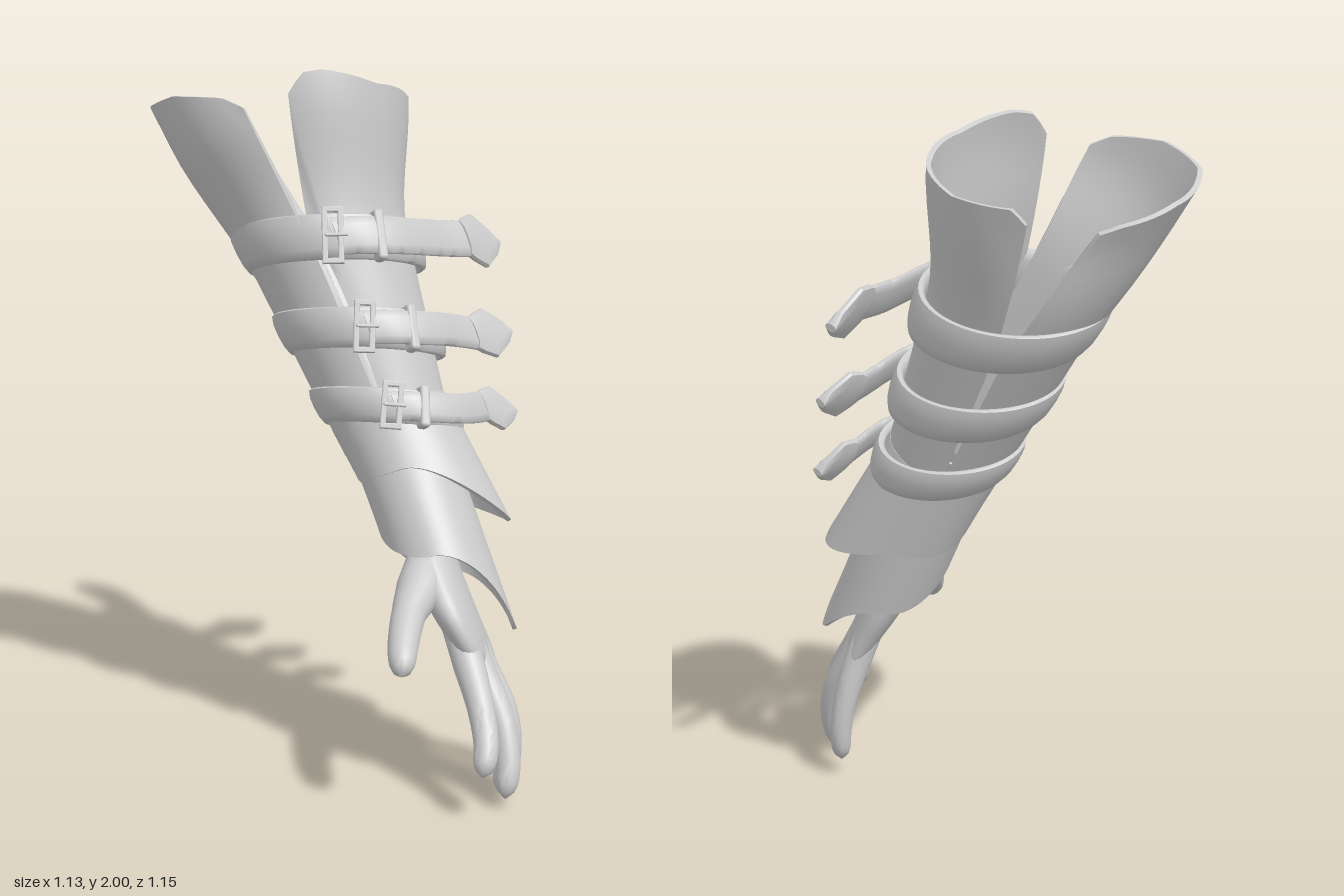
import * as THREE from 'three';
import { toCreasedNormals } from 'three/addons/utils/BufferGeometryUtils.js';
import { RoundedBoxGeometry } from 'three/addons/geometries/RoundedBoxGeometry.js';

const V = (x, y, z) => new THREE.Vector3(x, y, z);
const RAD = Math.PI / 180;
const { lerp, smoothstep } = THREE.MathUtils;
const material = new THREE.MeshStandardMaterial({ color: 0xcccccc, side: THREE.DoubleSide });

// Piecewise linear lookup through [x, value] pairs
function lookup(x, table) {
  if (x <= table[0][0]) return table[0][1];
  for (let i = 1; i < table.length; i++) {
    const [x0, v0] = table[i - 1], [x1, v1] = table[i];
    if (x <= x1) return lerp(v0, v1, (x - x0) / (x1 - x0));
  }
  return table[table.length - 1][1];
}

// Skin closed cross-sections into a solid; loops round or gets end caps
function loft(rings, closed = false, crease = 0.7) {
  const n = rings[0].length, pos = [], idx = [];
  rings.forEach(r => r.forEach(p => pos.push(p.x, p.y, p.z)));
  for (let i = 0; i < rings.length - (closed ? 0 : 1); i++)
    for (let j = 0; j < n; j++) {
      const k = (i + 1) % rings.length, m = (j + 1) % n;
      const a = i * n + j, b = i * n + m, c = k * n + m, d = k * n + j;
      idx.push(a, b, c, a, c, d);
    }
  if (!closed) [0, rings.length - 1].forEach(e => {
    const mid = V(0, 0, 0);
    rings[e].forEach(p => mid.addScaledVector(p, 1 / n));
    const c = pos.length / 3;
    pos.push(mid.x, mid.y, mid.z);
    for (let j = 0; j < n; j++) {
      const a = e * n + j, b = e * n + (j + 1) % n;
      e ? idx.push(c, a, b) : idx.push(c, b, a);
    }
  });
  // Turn the faces outwards
  const at = i => V(pos[3 * i], pos[3 * i + 1], pos[3 * i + 2]);
  let volume = 0;
  for (let i = 0; i < idx.length; i += 3) volume += at(idx[i]).dot(at(idx[i + 1]).cross(at(idx[i + 2])));
  if (volume < 0) idx.reverse();
  const g = new THREE.BufferGeometry();
  g.setAttribute('position', new THREE.Float32BufferAttribute(pos, 3));
  g.setIndex(idx);
  return toCreasedNormals(g, crease);
}

function add(parent, name, geometry) {
  const mesh = new THREE.Mesh(geometry, material);
  mesh.name = name;
  parent.add(mesh);
  return mesh;
}

// Forearm shell: cone widening to the elbow, each half flaring outwards
function shellPoint(t, deg, flare, shift, inset) {
  const c = Math.cos(deg * RAD), s = Math.sin(deg * RAD);
  const f = smoothstep(t, 0.5, 0.95);
  const r = 0.165 + 0.125 * t + flare * f * Math.abs(c) - inset;
  return V(r * c, t, r * s + shift * f * f);
}
function shellHalf(edgeA, edgeB, top, flare, shift) {
  const rings = [], U = 36, R = 18;
  for (let i = 0; i <= U; i++) {
    const s = i / U, tTop = lookup(s, top), ring = [];
    for (let k = 0; k < 2 * R + 2; k++) {
      const v = k <= R ? k / R : (2 * R + 1 - k) / R;
      const t = lerp(-0.05, tTop, v);
      ring.push(shellPoint(t, lerp(lookup(t, edgeA), lookup(t, edgeB), s), flare, shift, k <= R ? 0 : 0.015));
    }
    rings.push(ring);
  }
  return loft(rings);
}

// Wrist cuff: ring with a pointed lower rim; rim values at 0, 90, 180, 270 degrees
function cuff(topT, topR, rimT, rimR) {
  const rings = [], N = 64, R = 8;
  for (let i = 0; i < N; i++) {
    const q = i / N * 4, a = Math.floor(q), f = q - a, ang = q * Math.PI / 2, ring = [];
    const ease = smoothstep(f, 0, 1);
    const t1 = lerp(rimT[a], rimT[(a + 1) % 4], lerp(f, ease, 0.75));
    const r1 = lerp(rimR[a], rimR[(a + 1) % 4], ease);
    for (let k = 0; k < 2 * R + 2; k++) {
      const v = k <= R ? k / R : (2 * R + 1 - k) / R;
      const r = lerp(topR, r1, v) - (k <= R ? 0 : 0.012);
      ring.push(V(r * Math.cos(ang), lerp(topT, t1, v), r * Math.sin(ang)));
    }
    rings.push(ring);
  }
  return loft(rings, true);
}

// Leather band: bulged section swept along a path; slope leans it outwards
const bandSection = [[-1, 0], [-0.95, -0.5], [-0.55, -0.9], [0, -1], [0.55, -0.9], [0.95, -0.5],
  [1, 0], [0.95, 0.5], [0.55, 0.9], [0, 1], [-0.55, 0.9], [-0.95, 0.5]];
function band(points, width, thick, { closed = false, crease = 1, slope = 0 } = {}) {
  const n = points.length;
  const rings = points.map((p, i) => {
    const a = points[closed ? (i + n - 1) % n : Math.max(i - 1, 0)];
    const b = points[closed ? (i + 1) % n : Math.min(i + 1, n - 1)];
    const out = V(b.z - a.z, 0, a.x - b.x).normalize();
    const w = Array.isArray(width) ? width[i] : width;
    return bandSection.map(([y, o]) => p.clone().add(V(0, y * w / 2, 0)).addScaledVector(out, o * thick / 2 + slope * y * w / 2));
  });
  return loft(rings, closed, crease);
}

function buckleFrame(w, h) {
  const rect = (s, x, y) => s.moveTo(-x, -y).lineTo(x, -y).lineTo(x, y).lineTo(-x, y).closePath();
  const shape = rect(new THREE.Shape(), w / 2, h / 2);
  shape.holes.push(rect(new THREE.Path(), w / 2 - 0.01, h / 2 - 0.01));
  return new THREE.ExtrudeGeometry(shape, { depth: 0.01, bevelSize: 0.003, bevelThickness: 0.003, bevelSegments: 2 });
}

// Strap ring, buckle, keeper and loose tail with its pointed metal end
function strap(parent, { t, r, w, keeper, tipStart, tipEnd }) {
  const g = new THREE.Group();
  g.name = 'strap';
  parent.add(g);
  // The ring sits tilted, lower on the back-of-hand side
  const tilt = 0.08;
  const around = (deg, radius) => {
    const c = Math.cos(deg * RAD), s = Math.sin(deg * RAD);
    return V(radius * c, t - tilt * c, radius * s);
  };
  const ring = [];
  for (let i = 0; i < 56; i++) ring.push(around(i / 56 * 360, r));
  add(g, 'strapRing', band(ring, w, 0.034, { closed: true, slope: 0.12 }));
  const start = V(...tipStart), end = V(...tipEnd);
  const leave = around(10, r + 0.045);
  const path = new THREE.CatmullRomCurve3([
    around(80, r + 0.012), around(62, r + 0.018), around(42, r + 0.024), around(24, r + 0.034),
    leave.clone().lerp(start, 0.4), start]);
  add(g, 'strapTail', band(path.getPoints(28), w * 0.85, 0.026));
  const tip = [-0.05, 0.1, 0.42, 0.85, 1].map(k => start.clone().lerp(end, k));
  add(g, 'strapTip', band(tip, [0.8, 1, 1.25, 0.6, 0.15].map(k => k * w), 0.034, { crease: 0.45 }));
  const place = (mesh, deg, radius) => {
    mesh.position.copy(around(deg, radius));
    mesh.rotation.set(0, (90 - deg) * RAD, -Math.atan(tilt / r * Math.sin(deg * RAD)));
  };
  place(add(g, 'buckle', buckleFrame(0.055, w + 0.022)), 82, r + 0.016);
  place(add(g, 'bucklePin', new RoundedBoxGeometry(0.065, 0.01, 0.012, 2, 0.004)), 80, r + 0.028);
  place(add(g, 'keeper', new RoundedBoxGeometry(0.03, w + 0.014, 0.044, 2, 0.01)), keeper, r + 0.014);
}

// Rounded section; power below 1 makes it boxier
function section(c, x, y, rx, ry, power = 1) {
  const ring = [], bulge = v => Math.sign(v) * Math.abs(v) ** power;
  for (let j = 0; j < 24; j++) {
    const a = j / 24 * Math.PI * 2;
    ring.push(c.clone().addScaledVector(x, rx * bulge(Math.cos(a))).addScaledVector(y, ry * bulge(Math.sin(a))));
  }
  return ring;
}

// Round limb through [x, y, z, radius] stations with a domed tip
function finger(stations) {
  const curve = new THREE.CatmullRomCurve3(stations.map(s => V(s[0], s[1], s[2])));
  const rings = [], N = 22;
  for (let i = 0; i <= N; i++) {
    const u = i / N, c = curve.getPoint(u), d = curve.getTangent(u);
    const x = V(1, 0, 0).addScaledVector(d, -d.x).normalize(), y = d.clone().cross(x);
    const q = u * (stations.length - 1), k = Math.min(Math.floor(q), stations.length - 2);
    const dome = u > 0.86 ? Math.sqrt(Math.max(0.01, 1 - ((u - 0.86) / 0.14) ** 2)) : 1;
    const r = lerp(stations[k][3], stations[k + 1][3], q - k) * dome;
    rings.push(section(c, x, y, r, r));
  }
  return loft(rings, false, 1.4);
}

function palm() {
  // x, y, z, half width, half thickness
  const rows = [[0.19, 0.88, 0.02, 0.1, 0.085], [0.25, 0.74, 0.07, 0.105, 0.075], [0.3, 0.62, 0.135, 0.145, 0.066],
    [0.36, 0.51, 0.182, 0.175, 0.056], [0.405, 0.43, 0.193, 0.165, 0.045], [0.432, 0.38, 0.19, 0.15, 0.033], [0.445, 0.345, 0.185, 0.115, 0.012]];
  const wide = V(0, 0.14, 0.99), thick = V(0.93, 0.34, -0.07);
  const curve = new THREE.CatmullRomCurve3(rows.map(r => V(r[0], r[1], r[2])));
  const size = new THREE.CatmullRomCurve3(rows.map(r => V(r[3], r[4], 0)));
  const rings = [];
  for (let i = 0; i <= 24; i++) {
    const s = size.getPoint(i / 24);
    rings.push(section(curve.getPoint(i / 24), wide, thick, s.x, s.y, lerp(1, 0.75, i / 24)));
  }
  return loft(rings, false, 1.4);
}

export function createModel() {
  const model = new THREE.Group();
  model.name = 'armoredForearm';

  // Bracer, built upright and then leaned along the forearm
  const bracer = new THREE.Group();
  bracer.name = 'bracer';
  model.add(bracer);
  add(bracer, 'outerShell', shellHalf(
    [[0, -89], [0.5, -86], [1, -72]], [[0, 88], [0.35, 88], [0.6, 94], [0.97, 77]],
    [[0, 0.93], [0.05, 0.96], [0.25, 0.895], [0.5, 0.865], [0.7, 0.89], [0.88, 0.96], [0.95, 0.97], [1, 0.93]], 0.1, 0.025));
  add(bracer, 'innerShell', shellHalf(
    [[0, 91], [0.35, 92], [0.6, 99], [1, 106]], [[0, 269], [0.5, 266], [1, 246]],
    [[0, 0.93], [0.06, 0.98], [0.25, 1.05], [0.5, 1.09], [0.75, 1.06], [0.94, 0.99], [1, 0.95]], 0.045, 0.065));
  add(bracer, 'upperCuff', cuff(0.03, 0.17, [-0.385, -0.16, -0.13, -0.23], [0.225, 0.2, 0.145, 0.182]));
  add(bracer, 'lowerCuff', cuff(-0.08, 0.142, [-0.68, -0.42, -0.28, -0.45], [0.135, 0.2, 0.138, 0.175]));
  [
    { t: 0.53, r: 0.242, w: 0.135, keeper: 53, tipStart: [0.377, 0.43, -0.05], tipEnd: [0.454, 0.41, -0.21] },
    { t: 0.262, r: 0.208, w: 0.122, keeper: 48, tipStart: [0.308, 0.16, -0.045], tipEnd: [0.4, 0.144, -0.16] },
    { t: 0.03, r: 0.18, w: 0.108, keeper: 57, tipStart: [0.26, -0.045, -0.058], tipEnd: [0.334, -0.08, -0.152] },
  ].forEach(s => strap(bracer, s));
  bracer.applyMatrix4(new THREE.Matrix4()
    .makeBasis(V(0.929, 0.353, -0.112), V(-0.37, 0.885, -0.28), V(0, 0.301, 0.953)).setPosition(0.16, 1, -0.03));

  // Hand
  const hand = new THREE.Group();
  hand.name = 'hand';
  model.add(hand);
  add(hand, 'palm', palm());
  const fingers = {
    thumb: [[0.29, 0.66, 0.14, 0.06], [0.27, 0.59, 0.27, 0.066], [0.25, 0.545, 0.38, 0.048], [0.245, 0.49, 0.48, 0.043], [0.25, 0.43, 0.575, 0.034]],
    indexFinger: [[0.37, 0.49, 0.265, 0.04], [0.415, 0.39, 0.328, 0.045], [0.455, 0.29, 0.41, 0.038], [0.475, 0.21, 0.48, 0.035], [0.47, 0.135, 0.53, 0.031]],
    middleFinger: [[0.38, 0.49, 0.21, 0.04], [0.44, 0.36, 0.262, 0.044], [0.505, 0.24, 0.325, 0.038], [0.53, 0.13, 0.375, 0.035], [0.525, 0.035, 0.415, 0.031]],
    ringFinger: [[0.38, 0.49, 0.155, 0.04], [0.44, 0.35, 0.182, 0.044], [0.51, 0.22, 0.222, 0.038], [0.525, 0.11, 0.255, 0.035], [0.5, 0.005, 0.28, 0.031]],
    littleFinger: [[0.37, 0.49, 0.09, 0.038], [0.42, 0.37, 0.08, 0.041], [0.455, 0.26, 0.062, 0.035], [0.475, 0.15, 0.056, 0.032], [0.475, 0.05, 0.066, 0.028]],
  };
  for (const [name, stations] of Object.entries(fingers)) add(hand, name, finger(stations));
  return model;
}
